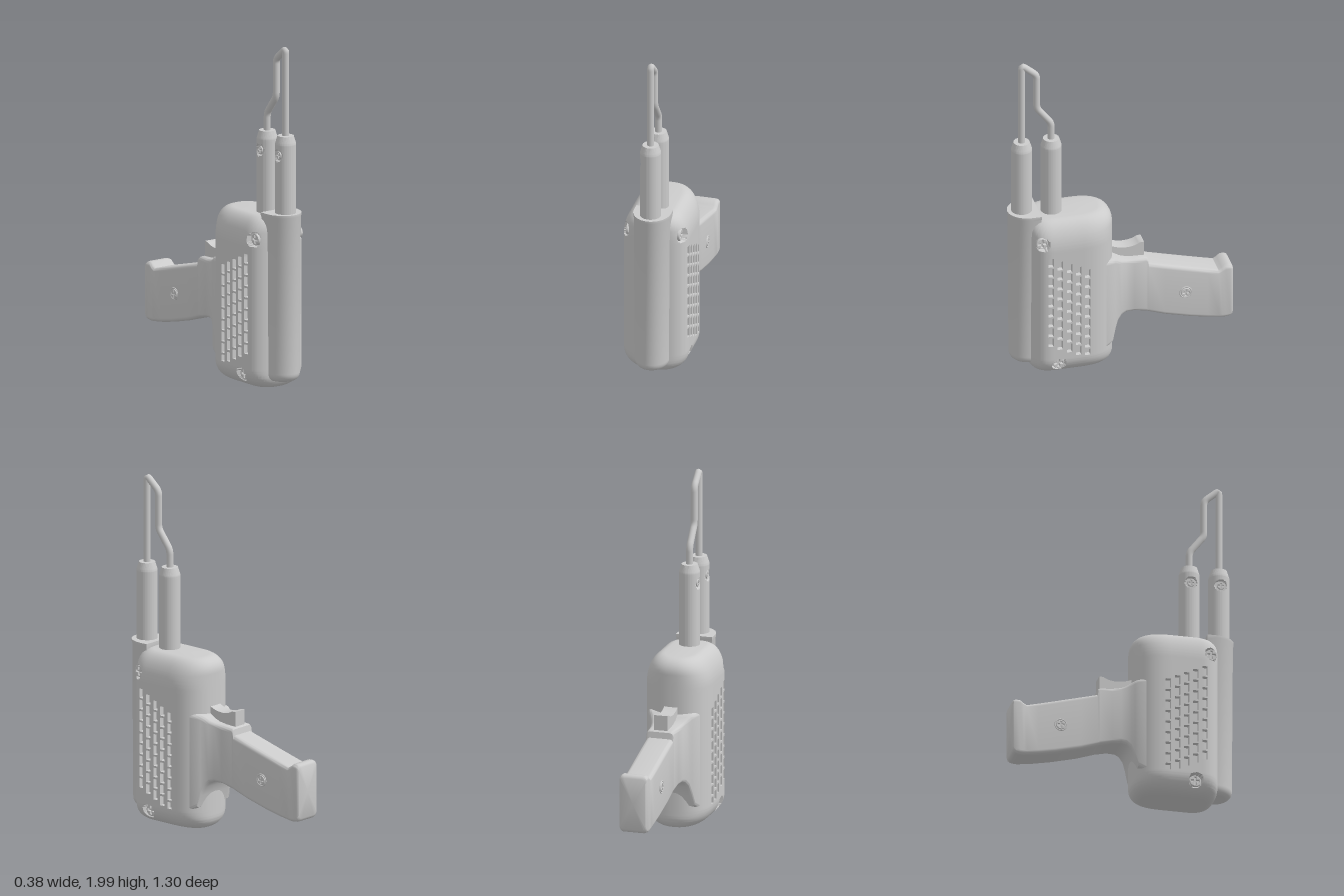
import * as THREE from 'three';
import { toCreasedNormals } from 'three/addons/utils/BufferGeometryUtils.js';

const material = new THREE.MeshStandardMaterial({ color: 0xcccccc });

function add(parent, name, geometry) {
  const mesh = new THREE.Mesh(geometry, material);
  mesh.name = name;
  parent.add(mesh);
  return mesh;
}

// Skin a list of equal-length closed rings and cap both ends
function loft(rings, crease = 0.6) {
  const n = rings[0].length, last = (rings.length - 1) * n;
  const pos = rings.flat(2), index = [];
  for (const ring of [rings[0], rings[rings.length - 1]])
    for (let k = 0; k < 3; k++) pos.push(ring.reduce((s, p) => s + p[k], 0) / n);
  for (let i = 0; i < rings.length - 1; i++)
    for (let j = 0; j < n; j++) {
      const a = i * n + j, b = i * n + (j + 1) % n;
      index.push(a, b, b + n, a, b + n, a + n);
    }
  for (let j = 0; j < n; j++) {
    const k = (j + 1) % n;
    index.push(last + n, k, j, last + n + 1, last + j, last + k);
  }
  const g = new THREE.BufferGeometry();
  g.setAttribute('position', new THREE.Float32BufferAttribute(pos, 3));
  g.setIndex(index);
  return toCreasedNormals(g, crease);
}

// Vent slots: five staggered columns
const slots = [];
for (let c = 0; c < 5; c++)
  for (let r = 0; r < 9; r++) {
    const z = 0.445 - 0.0535 * c, top = 0.79 - 0.025 * c - 0.066 * r;
    slots.push({ z0: z - 0.015, z1: z + 0.015, y0: Math.max(top - 0.053, 0.125), y1: top });
  }
// Screw wells in the housing; floor is the distance from the centre plane
const wells = [{ z: 0.49, y: 0.88, floor: 0.145 }, { z: 0.395, y: 0.08, floor: 0.15 }];
const WELL_RADIUS = 0.04;

const spread = (from, to, n) => Array.from({ length: n + 1 }, (_, i) => from + (to - from) * i / n);
const tidy = list => list.sort((a, b) => a - b).filter((v, i, l) => i === 0 || v - l[i - 1] > 0.0008);
const quarter = (v, n = 2) => Math.pow(Math.max(0, 1 - Math.pow(Math.min(1, Math.max(0, v)), n)), 1 / n);

// Housing: stacked sections with rounded ends, slots and wells pressed in
function housingGeometry() {
  const ys = spread(0.2, 0.8, 12), zs = spread(0.25, 0.42, 4);
  for (const t of spread(0, Math.PI / 2, 12)) {
    ys.push(0.12 - 0.12 * Math.sin(t), 0.83 + 0.175 * Math.sin(t));
    zs.push(0.25 - 0.2 * Math.pow(Math.sin(t), 0.83), 0.42 + 0.13 * Math.pow(Math.sin(t), 0.77));
  }
  for (const s of slots) {
    for (const y of [s.y0, s.y1]) ys.push(y - 0.001, y + 0.001);
    for (const z of [s.z0, s.z1]) zs.push(z - 0.001, z + 0.001);
  }
  for (const w of wells) {
    ys.push(...spread(w.y - 0.042, w.y + 0.042, 12));
    zs.push(...spread(w.z - 0.042, w.z + 0.042, 12));
  }
  const zList = tidy(zs).reverse();
  return loft(tidy(ys).map(y => {
    const width = y < 0.5 ? 0.07 + 0.12 * quarter((0.12 - y) / 0.12) : 0.09 + 0.1 * quarter((y - 0.83) / 0.175);
    const inset = 1 - (y < 0.5 ? quarter((0.08 - y) / 0.08) : quarter((y - 0.925) / 0.08));
    const side = zList.map(z0 => {
      const z = z0 + inset * (z0 < 0.3 ? 0.08 * (0.3 - z0) / 0.25 : -0.07 * (z0 - 0.3) / 0.25);
      let x = width * (z0 < 0.25 ? quarter((0.25 - z0) / 0.2, 2.4) : quarter((z0 - 0.42) / 0.13, 2.6));
      if (slots.some(s => z > s.z0 && z < s.z1 && y > s.y0 && y < s.y1)) x -= 0.025;
      for (const w of wells) if (Math.hypot(z - w.z, y - w.y) < WELL_RADIUS) x = Math.min(x, w.floor);
      return [x, y, z];
    });
    const mirrored = side.slice(1, -1).reverse().map(([x, yy, z]) => [-x, yy, z]);
    return [...side, ...mirrored];
  }));
}

// Front column: D-shaped section, rounded at the foot
function columnGeometry() {
  const outline = [[-0.105, 0.48]];
  for (const t of spread(Math.PI, 0, 24)) outline.push([0.105 * Math.cos(t), 0.53 + 0.12 * Math.sin(t)]);
  outline.push([0.105, 0.48]);
  const rings = [];
  for (const t of spread(0, Math.PI / 2, 8)) rings.push([0.1 - 0.05 * Math.cos(t), 0.55 + 0.4 * Math.sin(t)]);
  rings.push([1.005, 1], [1.015, 1.03], [1.03, 1.03]);
  return loft(rings.map(([y, s]) => outline.map(([x, z]) => [x * s, y, 0.53 + (z - 0.53) * s])));
}

// Grip: rounded rectangles along z, given as [z, top, bottom, half width]
function gripGeometry() {
  const stations = [
    [0.12, 0.70, 0.12, 0.155], [0.07, 0.695, 0.15, 0.14], [0.052, 0.69, 0.22, 0.127],
    [0.035, 0.68, 0.27, 0.117], [0.01, 0.665, 0.298, 0.105], [-0.02, 0.655, 0.308, 0.095],
    [-0.07, 0.648, 0.305, 0.086], [-0.14, 0.645, 0.288, 0.082], [-0.15, 0.638, 0.285, 0.081],
    [-0.156, 0.603, 0.282, 0.081], [-0.25, 0.578, 0.25, 0.081], [-0.4, 0.538, 0.212, 0.081],
    [-0.5, 0.512, 0.192, 0.081], [-0.565, 0.495, 0.183, 0.082], [-0.585, 0.506, 0.18, 0.083],
    [-0.605, 0.522, 0.18, 0.083], [-0.63, 0.523, 0.184, 0.083], [-0.643, 0.517, 0.192, 0.081],
    [-0.65, 0.505, 0.205, 0.073]];
  return loft(stations.map(([z, top, bottom, w]) => {
    const r = 0.024, ring = [];
    const corners = [[-w + r, top - r, Math.PI], [w - r, top - r, Math.PI / 2],
      [w - r, bottom + r, 0], [-w + r, bottom + r, -Math.PI / 2]];
    for (const [x, y, start] of corners)
      for (const t of spread(start, start - Math.PI / 2, 6)) ring.push([x + r * Math.cos(t), y + r * Math.sin(t), z]);
    return ring;
  }), 0.7);
}

// Trigger with a finger hollow on top
function triggerGeometry() {
  const s = new THREE.Shape();
  s.moveTo(-0.1, 0.6);
  s.lineTo(0.136, 0.6);
  s.lineTo(0.136, 0.733);
  s.lineTo(0.11, 0.73);
  s.quadraticCurveTo(0.08, 0.71, 0.03, 0.71);
  s.quadraticCurveTo(-0.02, 0.713, -0.055, 0.732);
  s.lineTo(-0.1, 0.732);
  const g = new THREE.ExtrudeGeometry(s, { depth: 0.08, bevelEnabled: false, curveSegments: 10 });
  return toCreasedNormals(g.translate(0, 0, -0.04).rotateY(Math.PI / 2), 0.5);
}

// Terminal sleeve: tapered top and a shallow set-screw pocket on the -x side
function sleeveGeometry(z, base) {
  const h = 1.48 - base;
  const g = new THREE.CylinderGeometry(0.06, 0.06, h, 64, 80).translate(0, base + h / 2, 0);
  const p = g.attributes.position;
  for (let i = 0; i < p.count; i++) {
    const y = p.getY(i), s = 1 - 0.23 * Math.max(0, (y - 1.435) / 0.045);
    let x = p.getX(i) * s;
    const zz = p.getZ(i) * s;
    if (x < 0 && Math.hypot(y - 1.37, zz) < 0.034) x = Math.max(x, -0.045);
    p.setXYZ(i, x, y, zz);
  }
  return toCreasedNormals(g.translate(0, 0, z), 0.5);
}

// Cross-head screw facing +x, mirrored by side
function screw(parent, name, side, x, y, z, radius, rim) {
  const group = new THREE.Group();
  group.name = name;
  const head = new THREE.Shape().absarc(0, 0, radius, 0, Math.PI * 2);
  const a = radius * 0.18, b = radius * 0.7;
  const cross = [[a, a], [a, b], [-a, b], [-a, a], [-b, a], [-b, -a], [-a, -a], [-a, -b], [a, -b], [a, -a], [b, -a], [b, a]];
  head.holes.push(new THREE.Path(cross.map(([u, v]) => new THREE.Vector2(u, v))));
  const bevel = radius * 0.1;
  add(group, 'screwHead', new THREE.ExtrudeGeometry(head, { depth: radius * 0.3, bevelSize: bevel,
    bevelOffset: -bevel, bevelThickness: bevel, bevelSegments: 2, curveSegments: 16 }));
  add(group, 'screwCore', new THREE.CircleGeometry(radius * 0.9, 24));
  if (rim) add(group, 'screwRim', new THREE.TorusGeometry(radius * 1.2, 0.004, 8, 32)).position.z = radius * 0.2;
  group.position.set(side * x, y, z);
  group.rotation.y = side * Math.PI / 2;
  parent.add(group);
}

// Bent wire tip with rounded corners
function wireGeometry() {
  const pts = [[0.57, 1.44], [0.57, 1.985], [0.482, 1.91], [0.482, 1.69], [0.397, 1.58], [0.397, 1.44]]
    .map(([z, y]) => new THREE.Vector3(0, y, z));
  const path = new THREE.CurvePath();
  let from = pts[0];
  for (let i = 1; i < pts.length - 1; i++) {
    const toward = q => pts[i].clone().add(q.clone().sub(pts[i]).setLength(0.025));
    const start = toward(pts[i - 1]), end = toward(pts[i + 1]);
    path.add(new THREE.LineCurve3(from, start));
    path.add(new THREE.QuadraticBezierCurve3(start, pts[i], end));
    from = end;
  }
  path.add(new THREE.LineCurve3(from, pts[pts.length - 1]));
  return new THREE.TubeGeometry(path, 160, 0.02, 16);
}

export function createModel() {
  const model = new THREE.Group();
  model.name = 'solderingGun';
  add(model, 'housing', housingGeometry());
  add(model, 'frontColumn', columnGeometry());
  add(model, 'grip', gripGeometry());
  add(model, 'trigger', triggerGeometry());
  add(model, 'wireTip', wireGeometry());
  for (const [name, z, base] of [['frontSleeve', 0.57, 1.02], ['rearSleeve', 0.397, 0.98]]) {
    add(model, name, sleeveGeometry(z, base));
    screw(model, name + 'Screw', -1, 0.044, 1.37, z, 0.022, false);
  }
  for (const side of [1, -1]) {
    for (const w of wells) screw(model, 'housingScrew', side, w.floor, w.y, w.z, 0.034, false);
    screw(model, 'gripScrew', side, 0.076, 0.385, -0.37, 0.028, true);
  }
  return model;
}
